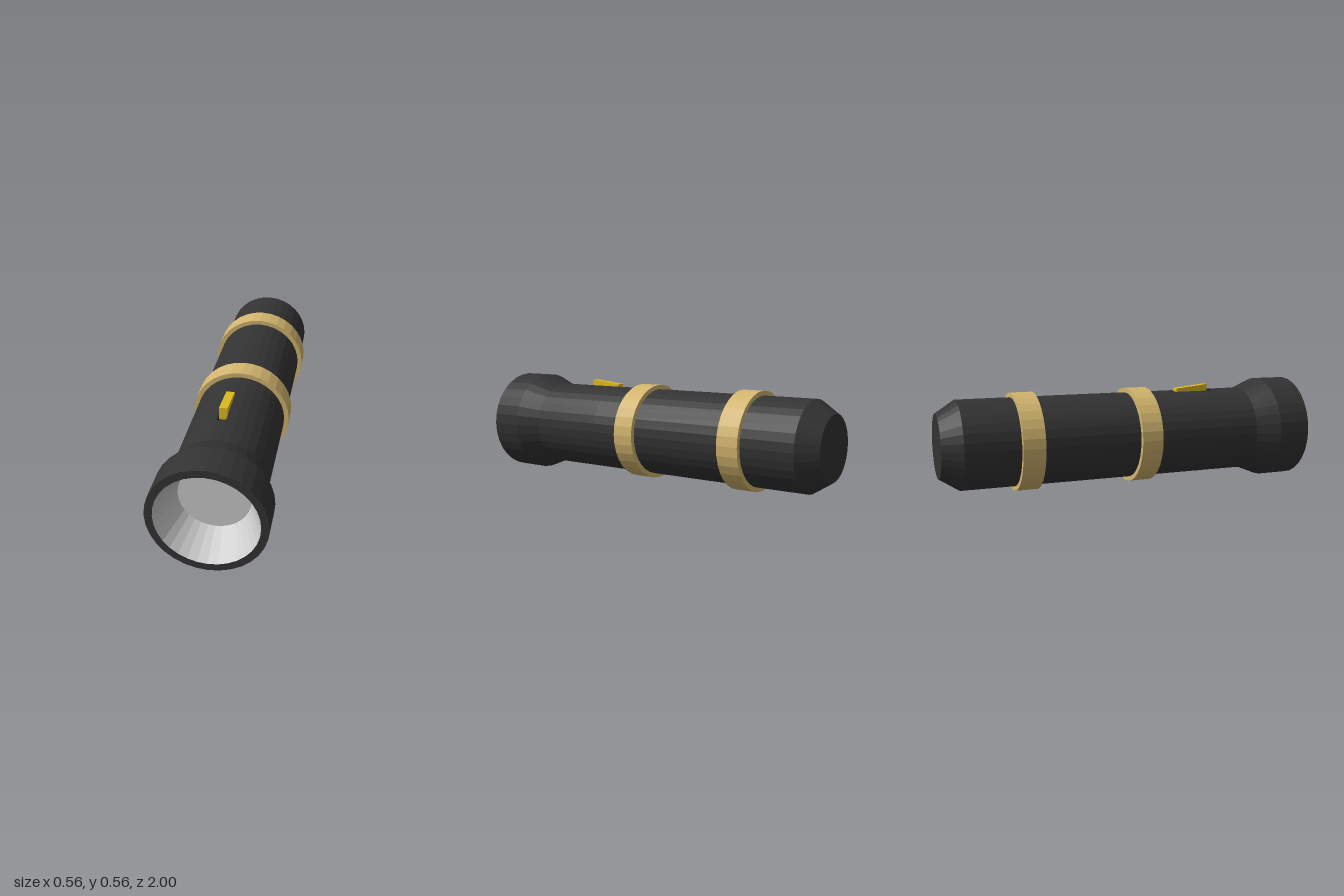
import * as THREE from 'three';

const SIDES = 32;
const R = 0.23; // barrel radius
const AXIS_Y = 0.28; // height of the long axis

const material = (color) => new THREE.MeshStandardMaterial({ color, flatShading: true });

export function createModel() {
  const model = new THREE.Group();
  model.name = 'flashlight';
  const black = material(0x333333);
  const tan = material(0xd2b56e);
  const yellow = material(0xe0bb22);
  const grey = material(0xcccccc);

  const add = (name, geometry, mat) => {
    const mesh = new THREE.Mesh(geometry, mat);
    mesh.name = name;
    mesh.position.y = AXIS_Y;
    model.add(mesh);
    return mesh;
  };

  // Turned part along z; the profile is a list of [radius, z]
  const turned = (name, profile, mat) => {
    const points = profile.map(([r, z]) => new THREE.Vector2(r, z));
    return add(name, new THREE.LatheGeometry(points, SIDES).rotateX(Math.PI / 2), mat);
  };

  // Barrel behind the switch, with a chamfered, closed tail
  turned('barrel', [[0, -1], [0.165, -1], [R, -0.9], [R, 0.29], [0, 0.29]], black);

  // Barrel section with the switch slot cut out of one facet
  const section = new THREE.Shape();
  for (let i = 0; i < SIDES; i++) {
    const a = Math.PI / 2 + (i / SIDES) * Math.PI * 2;
    const x = Math.cos(a) * R, y = Math.sin(a) * R;
    if (i === 0) section.moveTo(0, R).lineTo(0, 0.195);
    else if (i === 1) section.lineTo(x, 0.195).lineTo(x, y);
    else section.lineTo(x, y);
  }
  section.closePath();
  const slotted = new THREE.ExtrudeGeometry(section, { depth: 0.24, bevelEnabled: false });
  add('slottedBarrel', slotted.translate(0, 0, 0.29), black);

  // Flared head with its front rim
  turned('head', [[0, 0.53], [R, 0.53], [R, 0.7], [0.28, 0.825], [0.28, 1], [0.243, 1]], black);

  // Reflector cone and lens inside the head
  turned('reflector', [[0.243, 1], [0.172, 0.82]], grey);
  turned('lens', [[0.172, 0.82], [0, 0.82]], grey);

  // Two raised grip rings
  for (const [name, z] of [['frontRing', 0.01], ['rearRing', -0.62]]) {
    const a = z, b = z + 0.115;
    turned(name, [[R - 0.01, a], [0.254, a], [0.254, b], [R - 0.01, b]], tan);
  }

  // Wedge-shaped sliding switch, higher towards the head
  const wedge = new THREE.Shape([
    [0.295, 0.198], [0.48, 0.198], [0.48, 0.262], [0.295, 0.243],
  ].map(([z, y]) => new THREE.Vector2(z, y)));
  const slider = new THREE.ExtrudeGeometry(wedge, { depth: 0.042, bevelEnabled: false });
  slider.rotateY(-Math.PI / 2).translate(-0.0015, 0, 0);
  add('switch', slider, yellow);

  return model;
}
